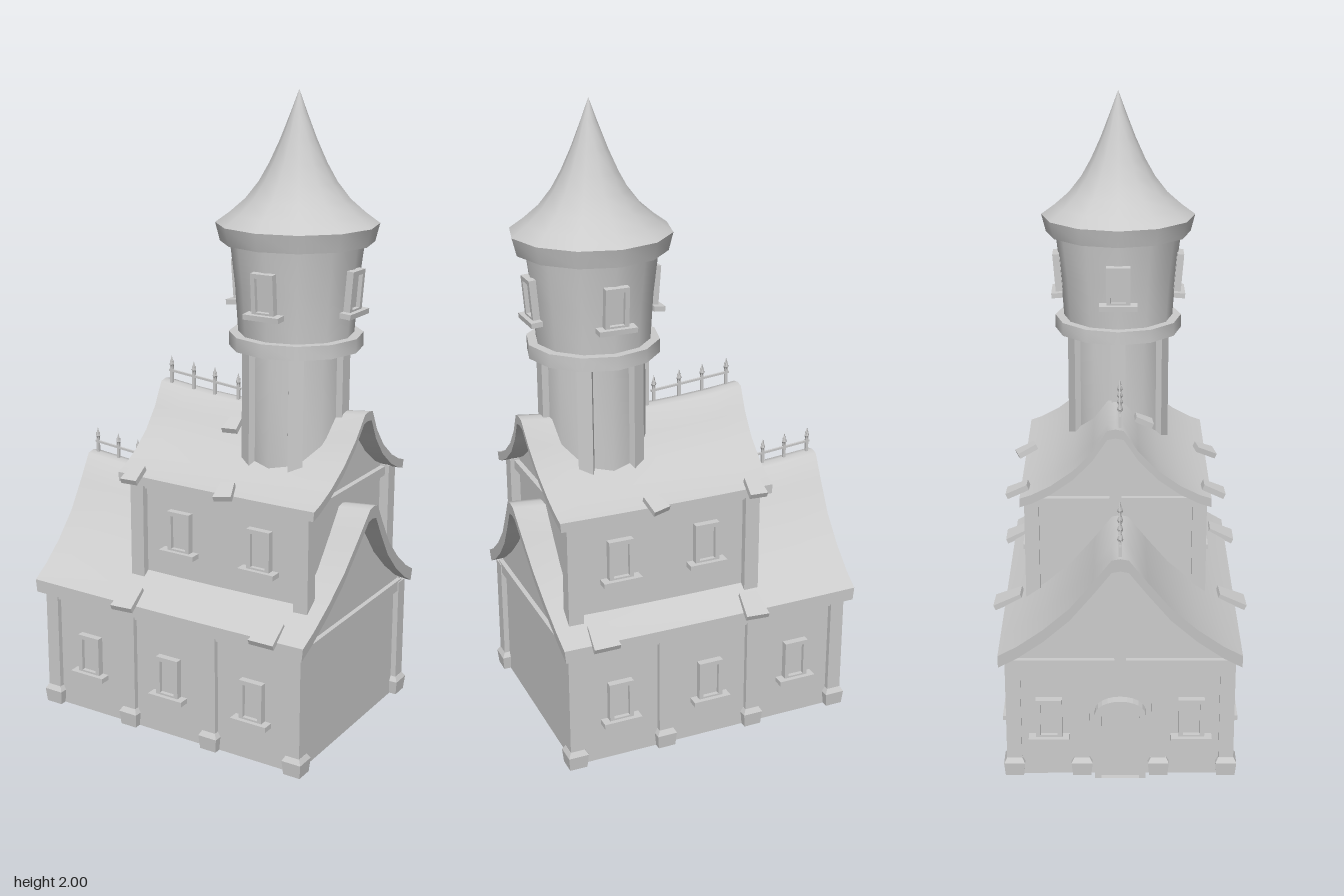
import * as THREE from 'three';
import { toCreasedNormals } from 'three/addons/utils/BufferGeometryUtils.js';

const grey = new THREE.MeshStandardMaterial({ color: 0xcccccc });
const greyOpen = new THREE.MeshStandardMaterial({ color: 0xcccccc, side: THREE.DoubleSide });

function add(parent, name, geometry, x = 0, y = 0, z = 0, material = grey) {
  const mesh = new THREE.Mesh(geometry, material);
  mesh.name = name;
  mesh.position.set(x, y, z);
  parent.add(mesh);
  return mesh;
}

const box = (parent, name, w, h, d, x, y, z) =>
  add(parent, name, new THREE.BoxGeometry(w, h, d), x, y, z);

const polygon = (pts) => new THREE.Shape(pts.map(([x, y]) => new THREE.Vector2(x, y)));

// Full symmetric outline from a half profile that runs ridge to eave
const mirrored = (half, dy = 0) => [
  ...half.slice(1).reverse().map(([z, y]) => [-z, y + dy]),
  ...half.map(([z, y]) => [z, y + dy]),
];

// Swept roof slab: ends flare out towards the ridge, the middle sags
function roof(half, thickness, eaveHalf, ridgeHalf, sag) {
  const outline = [...mirrored(half), ...mirrored(half, -thickness).reverse()];
  const geo = new THREE.ExtrudeGeometry(polygon(outline), { depth: 2, steps: 8, bevelEnabled: false });
  geo.translate(0, 0, -1);
  geo.rotateY(Math.PI / 2);
  const top = half[0][1], low = half[half.length - 1][1] - thickness;
  const p = geo.attributes.position;
  for (let i = 0; i < p.count; i++) {
    const u = p.getX(i), t = (p.getY(i) - low) / (top - low);
    p.setX(i, u * (eaveHalf + (ridgeHalf - eaveHalf) * t));
    p.setY(i, p.getY(i) - sag * (1 - u * u) * t);
  }
  geo.deleteAttribute('uv');
  return toCreasedNormals(geo, 0.88);
}

// Open-bottomed walls with gable ends that follow the roof
function walls(parent, name, half, halfX, halfZ, y0) {
  const inside = half.filter(([z]) => z < halfZ);
  const a = inside[inside.length - 1], b = half[inside.length];
  const eaveY = a[1] + (b[1] - a[1]) * (halfZ - a[0]) / (b[0] - a[0]);
  const outline = mirrored([...inside, [halfZ, eaveY]], -0.025);
  const gable = new THREE.ShapeGeometry(polygon([...outline, [halfZ, y0], [-halfZ, y0]]));
  const h = eaveY - 0.02 - y0;
  for (const s of [1, -1]) {
    add(parent, name + 'Gable', gable, s * halfX, 0, 0, greyOpen).rotation.y = s * Math.PI / 2;
    const plane = new THREE.PlaneGeometry(2 * halfX, h);
    const side = add(parent, name + 'Side', plane, 0, y0 + h / 2, s * halfZ, greyOpen);
    if (s < 0) side.rotation.y = Math.PI;
  }
}

// Framed window with sill; faces +z, origin at the middle of its back
function makeWindow(w = 0.08, h = 0.135) {
  const g = new THREE.Group();
  g.name = 'window';
  const rect = (a, b) => [[-a, -b], [a, -b], [a, b], [-a, b]];
  const frame = polygon(rect(w / 2, h / 2));
  frame.holes.push(polygon(rect(w / 2 - 0.014, h / 2 - 0.014).reverse()));
  add(g, 'windowFrame', new THREE.ExtrudeGeometry(frame, { depth: 0.022, bevelEnabled: false }));
  box(g, 'windowPane', w - 0.026, h - 0.026, 0.01, 0, 0, 0.004);
  box(g, 'windowSill', w + 0.045, 0.016, 0.036, 0, -h / 2, 0.018);
  return g;
}

function place(parent, object, x, y, z, turn) {
  object.position.set(x, y, z);
  object.rotation.y = turn;
  parent.add(object);
}

// Timber post with a wider tapered foot
function footedPost(parent, x, z) {
  box(parent, 'post', 0.046, 0.4, 0.046, x, 0.2, z);
  const foot = new THREE.CylinderGeometry(0.046, 0.04, 0.045, 4).rotateY(Math.PI / 4);
  const cap = new THREE.CylinderGeometry(0.033, 0.046, 0.016, 4).rotateY(Math.PI / 4);
  add(parent, 'postFoot', foot.toNonIndexed(), x, 0.0225, z).geometry.computeVertexNormals();
  add(parent, 'postFootCap', cap.toNonIndexed(), x, 0.053, z).geometry.computeVertexNormals();
}

// Loose tapered shingle lying on a roof slope; s is the side (+z or -z)
function shingle(parent, x, y, z, s, w, len, skew) {
  const geo = new THREE.BoxGeometry(w, 0.018, len);
  const p = geo.attributes.position;
  for (let i = 0; i < p.count; i++) if (p.getZ(i) < 0) p.setX(i, p.getX(i) * 0.78);
  const g = new THREE.Group();
  g.name = 'looseShingle';
  const m = add(g, 'shingle', geo);
  m.rotation.set(0.42, skew, 0);
  place(parent, g, x, y, z, s > 0 ? 0 : Math.PI);
}

// Ridge railing with pointed finials
function ridgeRail(parent, xs, yStart, yEnd, z) {
  const x0 = xs[0], x1 = xs[xs.length - 1];
  const yAt = (x) => yStart + (yEnd - yStart) * (x - x0) / (x1 - x0);
  const rail = box(parent, 'ridgeRail', x1 - x0 + 0.02, 0.007, 0.007, (x0 + x1) / 2, (yStart + yEnd) / 2 + 0.035, z);
  rail.rotation.z = Math.atan2(yEnd - yStart, x1 - x0);
  for (const x of xs) {
    box(parent, 'railSpike', 0.009, 0.085, 0.009, x, yAt(x) + 0.025, z);
    const tip = new THREE.CylinderGeometry(0, 0.009, 0.03, 4);
    add(parent, 'railFinial', tip, x, yAt(x) + 0.07, z);
    add(parent, 'railFinialBase', new THREE.CylinderGeometry(0.009, 0.004, 0.012, 4), x, yAt(x) + 0.049, z);
  }
}

function buildTower() {
  const g = new THREE.Group();
  g.name = 'tower';
  const lathe = (name, pts, crease) => {
    const geo = new THREE.LatheGeometry(pts.map(([r, y]) => new THREE.Vector2(r, y)), 12);
    geo.deleteAttribute('uv');
    add(g, name, toCreasedNormals(geo, crease), 0, 0, 0, greyOpen);
  };
  lathe('towerShaft', [[0.16, 0.84], [0.16, 1.25]], 0.6);
  lathe('towerRing', [[0.15, 1.235], [0.205, 1.235], [0.205, 1.278], [0.16, 1.278]], 0.6);
  lathe('towerDrum', [[0.176, 1.27], [0.186, 1.42], [0.204, 1.57]], 0.6);
  lathe('towerCornice', [[0.19, 1.555], [0.232, 1.555], [0.246, 1.61]], 0.6);
  lathe('towerSpire', [[0.246, 1.61], [0.202, 1.642], [0.156, 1.682], [0.117, 1.732], [0.086, 1.787],
    [0.055, 1.855], [0.025, 1.932], [0, 2]], 0.9);
  for (let i = 0; i < 6; i++) {
    const a = i * Math.PI / 3;
    const p = box(g, 'towerPilaster', 0.03, 0.4, 0.045, 0.16 * Math.cos(a), 1.04, -0.16 * Math.sin(a));
    p.rotation.y = a;
  }
  for (let i = 0; i < 4; i++) {
    const a = i * Math.PI / 2;
    const w = makeWindow(0.075, 0.13);
    w.rotation.order = 'YXZ';
    w.rotation.x = 0.08;
    place(g, w, 0.184 * Math.sin(a), 1.423, 0.184 * Math.cos(a), a);
  }
  g.position.set(0.25, 0, -0.005);
  return g;
}

function buildDoor() {
  const g = new THREE.Group();
  g.name = 'door';
  const arch = (r, h) => {
    const s = new THREE.Shape();
    s.moveTo(-r, 0);
    s.lineTo(r, 0);
    s.lineTo(r, h);
    s.absellipse(0, h, r, r * 0.6, 0, Math.PI, false);
    return s;
  };
  const frame = arch(0.078, 0.225);
  frame.holes.push(arch(0.058, 0.22));
  add(g, 'doorFrame', new THREE.ExtrudeGeometry(frame, { depth: 0.03, bevelEnabled: false, curveSegments: 6 }));
  add(g, 'doorLeaf', new THREE.ExtrudeGeometry(arch(0.06, 0.22), { depth: 0.012, bevelEnabled: false, curveSegments: 6 }));
  return g;
}

export function createModel() {
  const model = new THREE.Group();
  model.name = 'towerHouse';

  // Ground storey
  const lower = new THREE.Group();
  lower.name = 'groundStorey';
  model.add(lower);
  const lowProfile = [[0, 0.77], [0.025, 0.765], [0.08, 0.69], [0.15, 0.6], [0.23, 0.525], [0.31, 0.465], [0.368, 0.432]];
  walls(lower, 'groundWall', lowProfile, 0.462, 0.333, 0);
  add(lower, 'lowerRoof', roof(lowProfile, 0.042, 0.493, 0.533, 0.028));
  for (const s of [1, -1]) {
    for (const x of [-0.447, -0.145, 0.158, 0.457]) footedPost(lower, x, s * 0.327);
    box(lower, 'wallBeam', 0.93, 0.035, 0.03, 0, 0.388, s * 0.33);
    for (const x of [-0.3, 0.005, 0.31]) place(lower, makeWindow(), x, 0.203, s * 0.333, s > 0 ? 0 : Math.PI);
    box(lower, 'gableBeam', 0.03, 0.035, 0.66, s * 0.462, 0.388, 0);
    shingle(lower, -0.135, 0.443, s * 0.357, s, 0.076, 0.094, s * 0.06);
    shingle(lower, 0.37, 0.443, s * 0.354, s, 0.085, 0.09, 0);
    footedPost(lower, -0.447, s * 0.118);
    place(lower, makeWindow(), -0.462, 0.203, s * 0.218, -Math.PI / 2);
  }
  box(lower, 'gableStrut', 0.03, 0.33, 0.036, -0.462, 0.56, 0);
  place(lower, buildDoor(), -0.462, 0, 0, -Math.PI / 2);
  ridgeRail(lower, [-0.51, -0.425, -0.345, -0.255], 0.768, 0.745, 0);

  // Upper storey
  const upper = new THREE.Group();
  upper.name = 'upperStorey';
  upper.position.set(0.13, 0, -0.014);
  model.add(upper);
  const upProfile = [[0, 1.06], [0.025, 1.055], [0.07, 0.985], [0.13, 0.92], [0.2, 0.868], [0.26, 0.837], [0.296, 0.825]];
  walls(upper, 'upperWall', upProfile, 0.295, 0.262, 0.44);
  add(upper, 'upperRoof', roof(upProfile, 0.03, 0.347, 0.37, 0.025));
  for (const s of [1, -1]) {
    for (const x of [-0.288, 0.302]) box(upper, 'upperPost', 0.048, 0.36, 0.045, x, 0.635, s * 0.262);
    box(upper, 'upperBeam', 0.59, 0.03, 0.025, 0, 0.795, s * 0.262);
    for (const x of [-0.135, 0.152]) place(upper, makeWindow(), x, 0.657, s * 0.262, s > 0 ? 0 : Math.PI);
    box(upper, 'upperGableBeam', 0.03, 0.03, 0.52, s * 0.297, 0.795, 0);
    shingle(upper, -0.283, 0.83, s * 0.304, s, 0.058, 0.072, 0.05 * s);
    shingle(upper, 0.045, 0.832, s * 0.295, s, 0.058, 0.068, 0.25);
  }
  box(upper, 'upperGableStrut', 0.03, 0.22, 0.036, -0.297, 0.91, 0);
  shingle(upper, -0.055, 0.973, 0.09, 1, 0.052, 0.06, 0.1);
  ridgeRail(upper, [-0.335, -0.25, -0.17, -0.083], 1.058, 1.035, 0.014);

  model.add(buildTower());
  return model;
}
